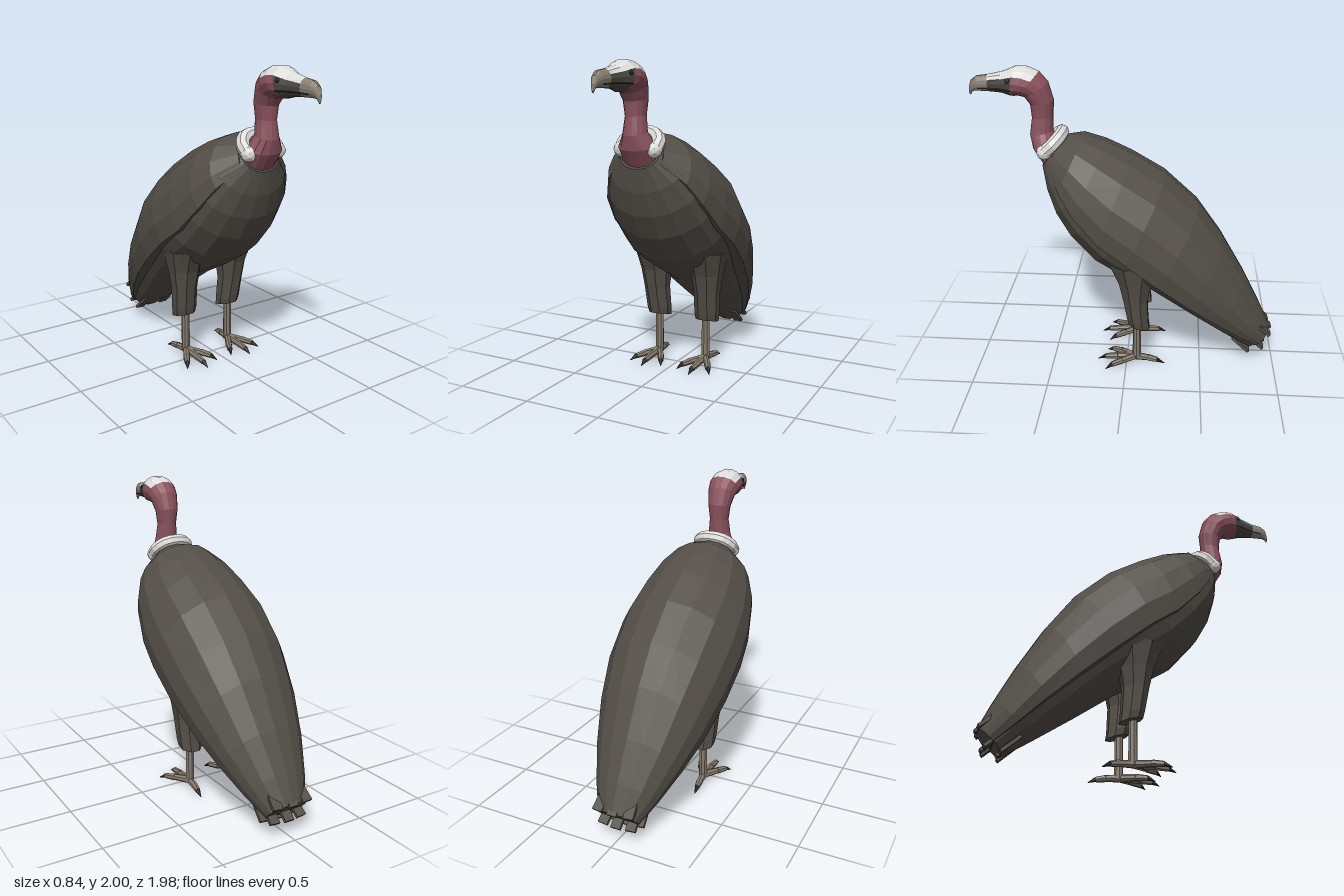
import * as THREE from 'three';

const mat = (name, color) => {
  const m = new THREE.MeshStandardMaterial({ color, flatShading: true });
  m.name = name;
  return m;
};

// Evenly spaced angles for a full ring of n sides
const ring = (n) => Array.from({ length: n }, (_, j) => ((j + 0.5) / n) * 2 * Math.PI);

// Skins cross-sections [topZ, topY, bottomZ, bottomY, halfWidth, centreX].
// span is the angle at which a section reaches its bottom point;
// pick(i, j) chooses the material of each face.
function loft(sections, angles, span = Math.PI, pick = () => 0) {
  const n = angles.length;
  const rows = sections.map(([tz, ty, bz, by, w, cx = 0]) => angles.map((a) => {
    const t = (1 - Math.cos(a)) / (1 - Math.cos(span));
    return [cx + Math.sin(a) * w, ty + (by - ty) * t, tz + (bz - tz) * t];
  }));
  const buckets = {};
  const add = (m, ...pts) => (buckets[m] ??= []).push(...pts.flat());
  for (let i = 0; i < rows.length - 1; i++) {
    for (let j = 0; j < n; j++) {
      const k = (j + 1) % n;
      const [a, b, c, d] = [rows[i][j], rows[i + 1][j], rows[i + 1][k], rows[i][k]];
      add(pick(i, j), a, b, c, a, c, d);
    }
  }
  // Close both ends
  const last = rows.length - 1;
  for (const [i, flip] of [[0, false], [last, true]]) {
    const mid = [0, 1, 2].map((q) => rows[i].reduce((s, p) => s + p[q], 0) / n);
    for (let j = 0; j < n; j++) {
      const p = rows[i][j], q = rows[i][(j + 1) % n];
      add(pick(Math.min(i, last - 1), j), mid, flip ? q : p, flip ? p : q);
    }
  }
  const geo = new THREE.BufferGeometry();
  const all = [];
  for (const m of Object.keys(buckets)) {
    geo.addGroup(all.length / 3, buckets[m].length / 3, Number(m));
    for (const v of buckets[m]) all.push(v);
  }
  geo.setAttribute('position', new THREE.Float32BufferAttribute(all, 3));
  geo.computeVertexNormals();
  return geo;
}

export function createModel() {
  const plumage = mat('plumage', 0x534e47);
  const skin = mat('redSkin', 0x8a525d);
  const down = mat('whiteDown', 0xdcdcda);
  const face = mat('darkFace', 0x4b4843);
  const horn = mat('beakHorn', 0x8a8174);
  const scale = mat('legScale', 0x857b6d);
  const dark = mat('clawAndEye', 0x2c2927);

  const model = new THREE.Group();
  const put = (name, geo, material, parent = model) => {
    const mesh = new THREE.Mesh(geo, material);
    mesh.name = name;
    parent.add(mesh);
    return mesh;
  };
  // Tapered rod between two points
  const rod = (name, a, b, ra, rb, material, parent, sides = 7) => {
    const A = new THREE.Vector3(...a), B = new THREE.Vector3(...b), d = B.clone().sub(A);
    const mesh = put(name, new THREE.CylinderGeometry(rb, ra, d.length(), sides), material, parent);
    mesh.position.copy(A).add(B).multiplyScalar(0.5);
    mesh.quaternion.setFromUnitVectors(new THREE.Vector3(0, 1, 0), d.normalize());
  };

  // Torso, breast to tail
  put('torso', loft([
    [0.44, 1.52, 0.55, 1.37, 0.13], [0.28, 1.53, 0.525, 1.22, 0.25],
    [0.13, 1.48, 0.475, 1.07, 0.33], [-0.03, 1.39, 0.39, 0.92, 0.37],
    [-0.22, 1.27, 0.24, 0.75, 0.385], [-0.4, 1.09, 0.07, 0.645, 0.365],
    [-0.56, 0.88, -0.14, 0.53, 0.315], [-0.72, 0.62, -0.4, 0.35, 0.25],
    [-0.85, 0.37, -0.64, 0.19, 0.18], [-0.93, 0.2, -0.82, 0.075, 0.12],
  ].reverse(), ring(16)), [plumage]);

  // Folded wings, overlapping the torso
  const span = THREE.MathUtils.degToRad(108);
  const wingAngles = [-108, -90, -70, -45, -22, 0, 22, 45, 70, 90, 108].map(THREE.MathUtils.degToRad);
  put('foldedWings', loft([
    [0.42, 1.56, 0.5, 1.4, 0.15], [0.28, 1.575, 0.42, 1.28, 0.285],
    [0.14, 1.53, 0.33, 1.15, 0.355], [-0.02, 1.455, 0.17, 0.98, 0.4],
    [-0.24, 1.325, 0, 0.86, 0.42], [-0.46, 1.125, -0.2, 0.7, 0.405],
    [-0.62, 0.9, -0.42, 0.52, 0.355], [-0.78, 0.625, -0.6, 0.37, 0.285],
    [-0.9, 0.39, -0.76, 0.23, 0.205], [-0.975, 0.225, -0.88, 0.13, 0.135],
  ].reverse(), wingAngles, span), [plumage]);

  // Tail feather tips in three layers: [y, z, half spread]
  [[0.262, -0.925, 0.1], [0.15, -0.885, 0.09], [0.125, -0.79, 0.095]].forEach(([y, z, spread]) => {
    for (const s of [-1, 0, 1]) {
      const tip = put('tailFeather', new THREE.BoxGeometry(0.065, 0.02, 0.15), plumage);
      tip.position.set(s * spread, y, z + Math.abs(s) * 0.012);
      tip.rotation.set(-0.72, -s * 0.08, 0);
    }
  });

  // Neck, head and beak in one skin, coloured by region
  const sides = 14;
  const headAngles = ring(sides);
  put('neckAndHead', loft([
    [0.42, 1.42, 0.53, 1.36, 0.11], [0.45, 1.53, 0.605, 1.48, 0.12],
    [0.475, 1.6, 0.622, 1.57, 0.075], [0.47, 1.69, 0.605, 1.68, 0.063],
    [0.463, 1.79, 0.612, 1.765, 0.076], [0.495, 1.905, 0.645, 1.81, 0.092],
    [0.55, 1.968, 0.685, 1.82, 0.104], [0.62, 1.998, 0.71, 1.816, 0.108],
    [0.69, 2.002, 0.73, 1.818, 0.1], [0.77, 1.968, 0.79, 1.835, 0.07],
    [0.87, 1.946, 0.865, 1.84, 0.043], [0.94, 1.937, 0.925, 1.842, 0.036],
    [0.976, 1.91, 0.955, 1.842, 0.024], [0.99, 1.865, 0.972, 1.835, 0.014],
    [0.992, 1.828, 0.982, 1.815, 0.005],
  ], headAngles, Math.PI, (i, j) => {
    const onTop = Math.cos(headAngles[j] + Math.PI / sides) > 0.55;
    if (i >= 10) return 3;
    if (i >= 6 && onTop) return 1;
    return i >= 8 ? 2 : 0;
  }), [skin, down, face, horn]);

  // Downy ruff around the back of the neck
  const ruffHalf = [[0.11, 1.48, 0.525], [0.115, 1.53, 0.47], [0.07, 1.57, 0.43]];
  const ruffPath = [...ruffHalf, [0, 1.58, 0.42], ...ruffHalf.map(([x, y, z]) => [-x, y, z]).reverse()]
    .map((p) => new THREE.Vector3(...p));
  put('ruff', new THREE.TubeGeometry(new THREE.CatmullRomCurve3(ruffPath), 12, 0.043, 8), down);

  for (const s of [1, -1]) {
    const sideName = s > 0 ? 'left' : 'right';
    put(sideName + 'RuffEnd', new THREE.IcosahedronGeometry(0.05, 1), down).position.set(s * 0.108, 1.485, 0.52);

    // Eye and mouth line
    const eye = put(sideName + 'Eye', new THREE.SphereGeometry(0.016, 10, 8), dark);
    eye.position.set(s * 0.086, 1.925, 0.73);
    eye.scale.x = 0.6;
    const mouth = [[0.088, 1.865, 0.715], [0.061, 1.867, 0.79], [0.037, 1.865, 0.87], [0.03, 1.862, 0.93]]
      .map(([x, y, z]) => new THREE.Vector3(s * x, y, z));
    put(sideName + 'MouthLine', new THREE.TubeGeometry(new THREE.CatmullRomCurve3(mouth), 8, 0.004, 4), dark);

    // Feathered thigh, shank and foot
    const leg = new THREE.Group();
    leg.name = sideName + 'Leg';
    model.add(leg);
    put('thigh', loft([
      [0.12, 0.78, -0.22, 0.78, 0.13, s * 0.2], [0.055, 0.63, -0.17, 0.62, 0.105, s * 0.19],
      [0.025, 0.5, -0.145, 0.5, 0.088, s * 0.188], [0.0, 0.36, -0.152, 0.33, 0.085, s * 0.18],
      [-0.01, 0.315, -0.16, 0.28, 0.078, s * 0.178],
    ], ring(8)), [plumage], leg);
    const x = s * 0.175;
    rod('shank', [x, 0.03, -0.07], [x, 0.34, -0.07], 0.029, 0.027, scale, leg, 8);

    // Toes: [knuckle x, z], [claw base x, z], [claw tip x, z], relative to the shank in x
    const toes = [
      [[0, 0.06], [0, 0.145], [0, 0.195]],
      [[0.06, 0.03], [0.095, 0.095], [0.12, 0.135]],
      [[-0.06, 0.03], [-0.095, 0.095], [-0.115, 0.135]],
      [[0.01, -0.15], [0.02, -0.21], [0.025, -0.26]],
    ];
    for (const [k, c, t] of toes) {
      const K = [x + s * k[0], 0.036, k[1]], C = [x + s * c[0], 0.028, c[1]];
      rod('toe', [x, 0.04, -0.06], K, 0.026, 0.021, scale, leg);
      rod('toeEnd', K, C, 0.023, 0.018, scale, leg);
      rod('claw', C, [x + s * t[0], 0.006, t[1]], 0.016, 0.002, dark, leg, 6);
    }
  }
  return model;
}
